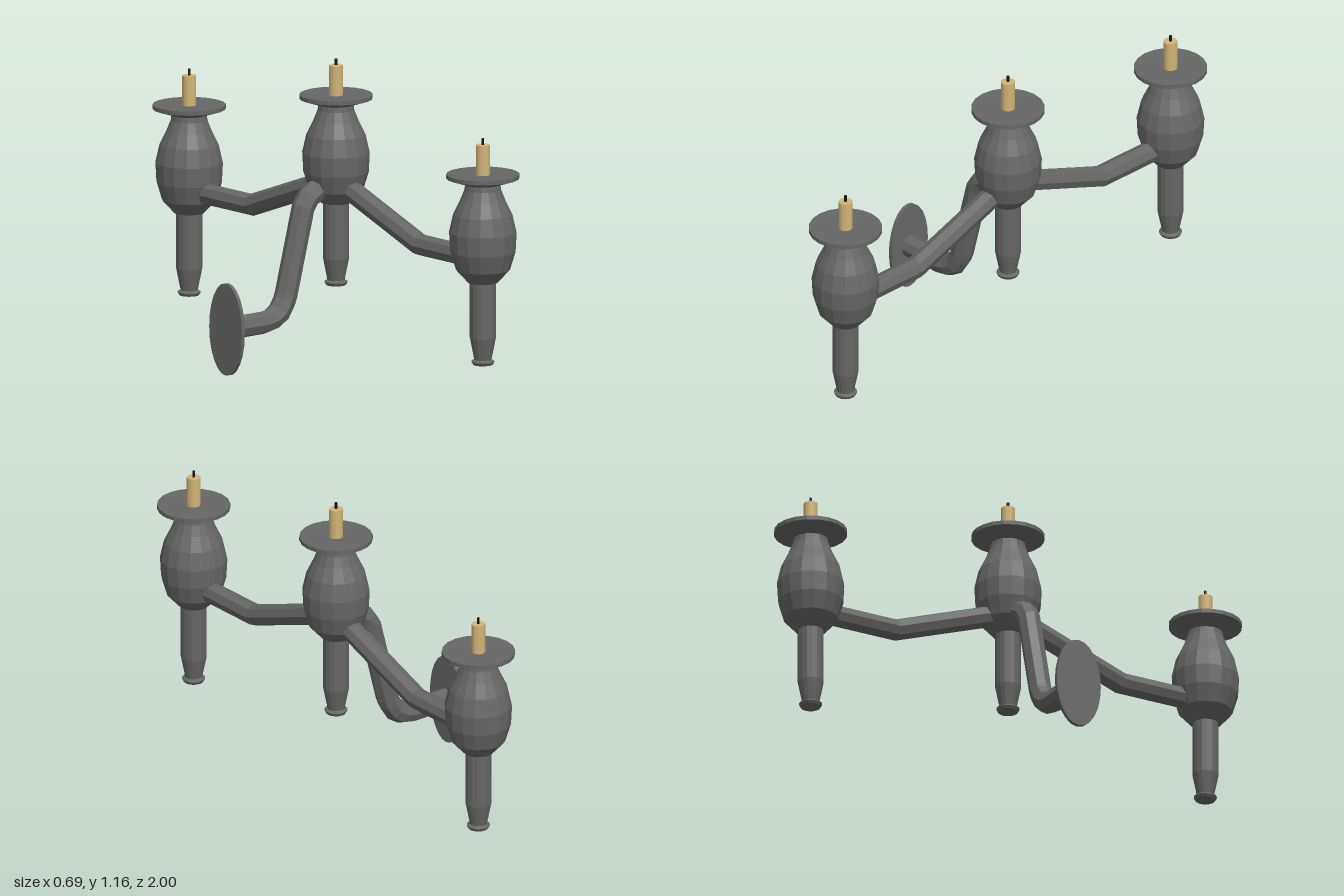
import * as THREE from 'three';

const metal = new THREE.MeshStandardMaterial({ color: 0x666666, flatShading: true });
const wax = new THREE.MeshStandardMaterial({ color: 0xd2b478, flatShading: true });
const black = new THREE.MeshStandardMaterial({ color: 0x141414, flatShading: true });

const AXIS_X = 0.205;

function add(parent, name, geometry, material, x = 0, y = 0, z = 0) {
  const mesh = new THREE.Mesh(geometry, material);
  mesh.name = name;
  mesh.position.set(x, y, z);
  parent.add(mesh);
  return mesh;
}

function lathe(points) {
  return new THREE.LatheGeometry(points.map(([r, y]) => new THREE.Vector2(r, y)), 16);
}

// Octagonal bar swept along a path in the XY plane, with mitred bends
function bar(path, radius) {
  const sides = 8, positions = [], indices = [];
  const pts = path.map(([x, y]) => new THREE.Vector2(x, y));
  const last = pts.length - 1;
  pts.forEach((p, i) => {
    const before = pts[Math.max(i, 1)].clone().sub(pts[Math.max(i, 1) - 1]).normalize();
    const j = Math.min(i, last - 1);
    const after = pts[j + 1].clone().sub(pts[j]).normalize();
    const dir = before.clone().add(after).normalize();
    const stretch = 1 / dir.dot(before);
    for (let k = 0; k < sides; k++) {
      const a = (k / sides) * Math.PI * 2;
      const u = Math.cos(a) * radius * stretch;
      positions.push(p.x - dir.y * u, p.y + dir.x * u, Math.sin(a) * radius);
    }
  });
  for (let i = 0; i < last; i++) {
    for (let k = 0; k < sides; k++) {
      const a = i * sides + k, b = i * sides + (k + 1) % sides;
      indices.push(a, b, a + sides, b, b + sides, a + sides);
    }
  }
  // End caps
  const end = last * sides;
  for (let k = 1; k < sides - 1; k++) {
    indices.push(0, k + 1, k, end, end + k, end + k + 1);
  }
  const geometry = new THREE.BufferGeometry();
  geometry.setAttribute('position', new THREE.Float32BufferAttribute(positions, 3));
  geometry.setIndex(indices);
  geometry.computeVertexNormals();
  return geometry;
}

// Turned stem, bulb, drip dish and candle; y = 0 is the foot
function candleHolder(name) {
  const holder = new THREE.Group();
  holder.name = name;
  add(holder, 'stem', lathe([
    [0, 0], [0.038, 0], [0.044, 0.01], [0.044, 0.014], [0.033, 0.02],
    [0.05, 0.105], [0.05, 0.33],
  ]), metal);
  add(holder, 'bulb', lathe([
    [0, 0.32], [0.058, 0.32], [0.104, 0.37], [0.125, 0.44], [0.129, 0.515],
    [0.113, 0.585], [0.086, 0.64], [0.07, 0.68], [0.066, 0.71],
  ]), metal);
  add(holder, 'dripDish', new THREE.LatheGeometry([
    [0.066, 0.70], [0.14, 0.724], [0.14, 0.74], [0, 0.736],
  ].map(([r, y]) => new THREE.Vector2(r, y)), 20), metal);
  add(holder, 'candle', new THREE.CylinderGeometry(0.027, 0.027, 0.12, 16), wax, 0, 0.793);
  add(holder, 'wick', new THREE.CylinderGeometry(0.005, 0.005, 0.03, 8), black, 0, 0.863);
  return holder;
}

export function createModel() {
  const model = new THREE.Group();
  model.name = 'wallCandelabra';

  // Three candle holders, the middle one raised
  [['frontHolder', 0.105, 0.86], ['middleHolder', 0.28, 0], ['backHolder', 0.105, -0.86]]
    .forEach(([name, y, z]) => {
      const holder = candleHolder(name);
      holder.position.set(AXIS_X, y, z);
      model.add(holder);
    });

  // Side arms reach from the middle bulb to the outer bulbs
  const armPath = [[0.03, 0.681], [0.49, 0.513], [0.82, 0.513]];
  for (const side of [1, -1]) {
    const arm = add(model, side > 0 ? 'frontArm' : 'backArm', bar(armPath, 0.042), metal, AXIS_X);
    arm.rotation.y = -side * Math.PI / 2;
  }

  // Bent arm from the wall plate to the middle bulb
  add(model, 'wallArm', bar([
    [-0.34, 0.181], [-0.16, 0.181], [-0.115, 0.19], [-0.08, 0.212], [-0.055, 0.25],
    [-0.045, 0.275], [0.04, 0.6], [0.066, 0.637], [0.16, 0.69],
  ], 0.044), metal);

  // Oval wall plate
  const plate = add(model, 'wallPlate', new THREE.CylinderGeometry(1, 1, 0.015, 24), metal, -0.34, 0.179, 0);
  plate.rotation.z = Math.PI / 2;
  plate.scale.set(0.179, 1, 0.096);

  return model;
}
